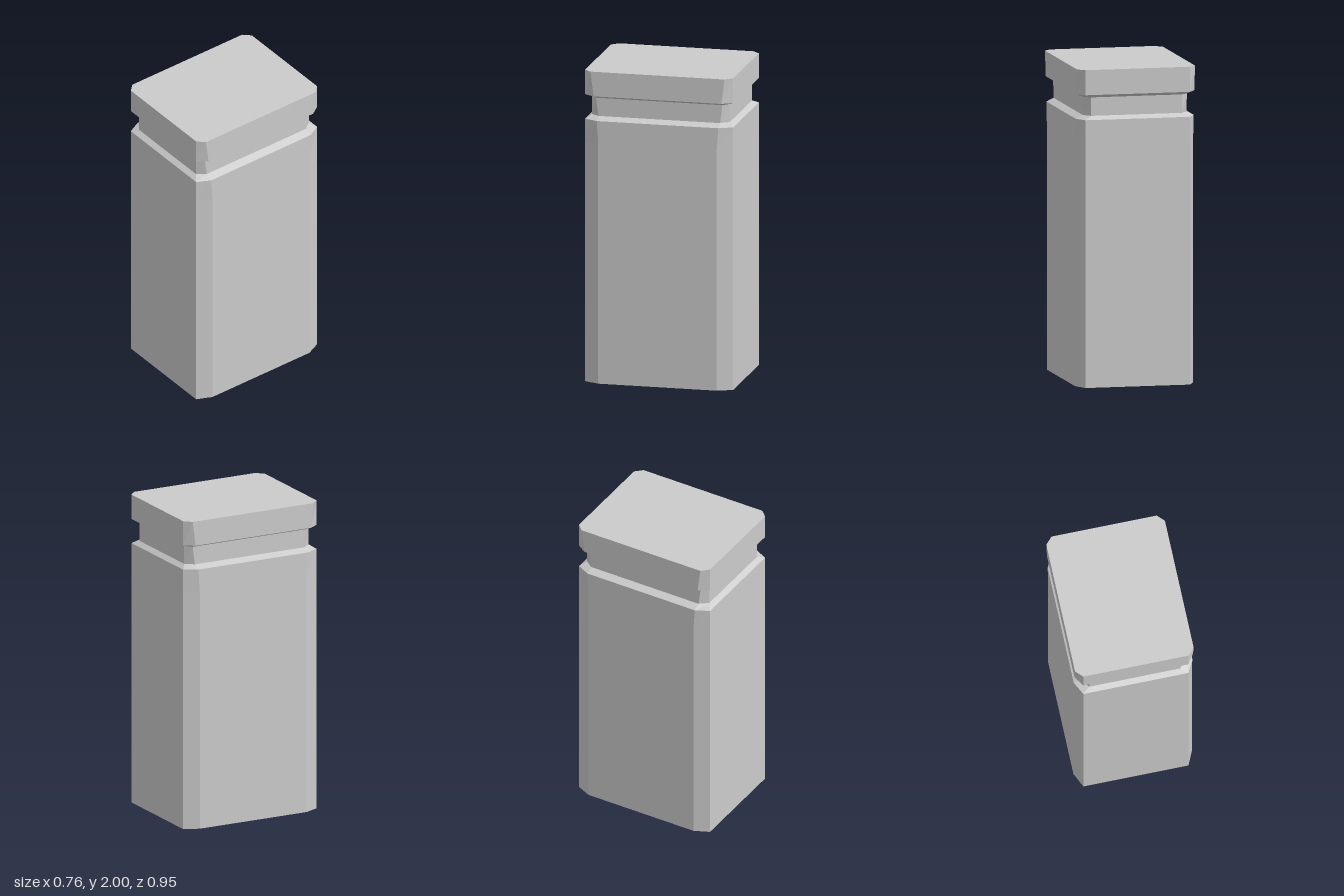
import * as THREE from 'three';

const material = new THREE.MeshStandardMaterial({ color: 0xcccccc, flatShading: true });

// Rectangle with cut corners: half sizes hx, hz; flats end at ix, iz
function section([y, hx, hz, ix, iz]) {
  return [
    [hx, iz], [hx, -iz], [ix, -hz], [-ix, -hz],
    [-hx, -iz], [-hx, iz], [-ix, hz], [ix, hz],
  ].map(([x, z]) => new THREE.Vector3(x, y, z));
}

// Skin a stack of sections, optionally closing the bottom and top
function loft(name, rows, closeBottom, closeTop) {
  const rings = rows.map(section);
  const points = [];
  const n = 8;
  for (let r = 0; r < rings.length - 1; r++) {
    for (let i = 0; i < n; i++) {
      const j = (i + 1) % n;
      const a = rings[r][i], b = rings[r][j], c = rings[r + 1][j], d = rings[r + 1][i];
      points.push(a, b, c, a, c, d);
    }
  }
  const first = rings[0], last = rings[rings.length - 1];
  for (let i = 1; i < n - 1; i++) {
    if (closeBottom) points.push(first[0], first[i + 1], first[i]);
    if (closeTop) points.push(last[0], last[i], last[i + 1]);
  }
  const geometry = new THREE.BufferGeometry().setFromPoints(points);
  geometry.computeVertexNormals();
  const mesh = new THREE.Mesh(geometry, material);
  mesh.name = name;
  return mesh;
}

export function createModel() {
  const group = new THREE.Group();
  group.name = 'post';

  // Rows: height, half width, half depth, flat half width, flat half depth
  const bodyTop = [1.685, 0.378, 0.475, 0.335, 0.39];
  const neckBottom = [1.707, 0.332, 0.443, 0.29, 0.39];
  const neckTop = [1.823, 0.332, 0.443, 0.29, 0.405];

  // Shaft with a bevelled shoulder
  group.add(loft('shaft', [
    [0, 0.378, 0.475, 0.335, 0.38],
    [1.54, 0.378, 0.475, 0.335, 0.38],
    bodyTop, neckBottom,
  ], true, false));

  // Recessed neck
  group.add(loft('neck', [neckBottom, neckTop], false, false));

  // Cap with a bevelled underside
  group.add(loft('cap', [
    neckTop,
    [1.842, 0.378, 0.475, 0.335, 0.41],
    [2, 0.378, 0.475, 0.335, 0.43],
  ], false, true));

  return group;
}
